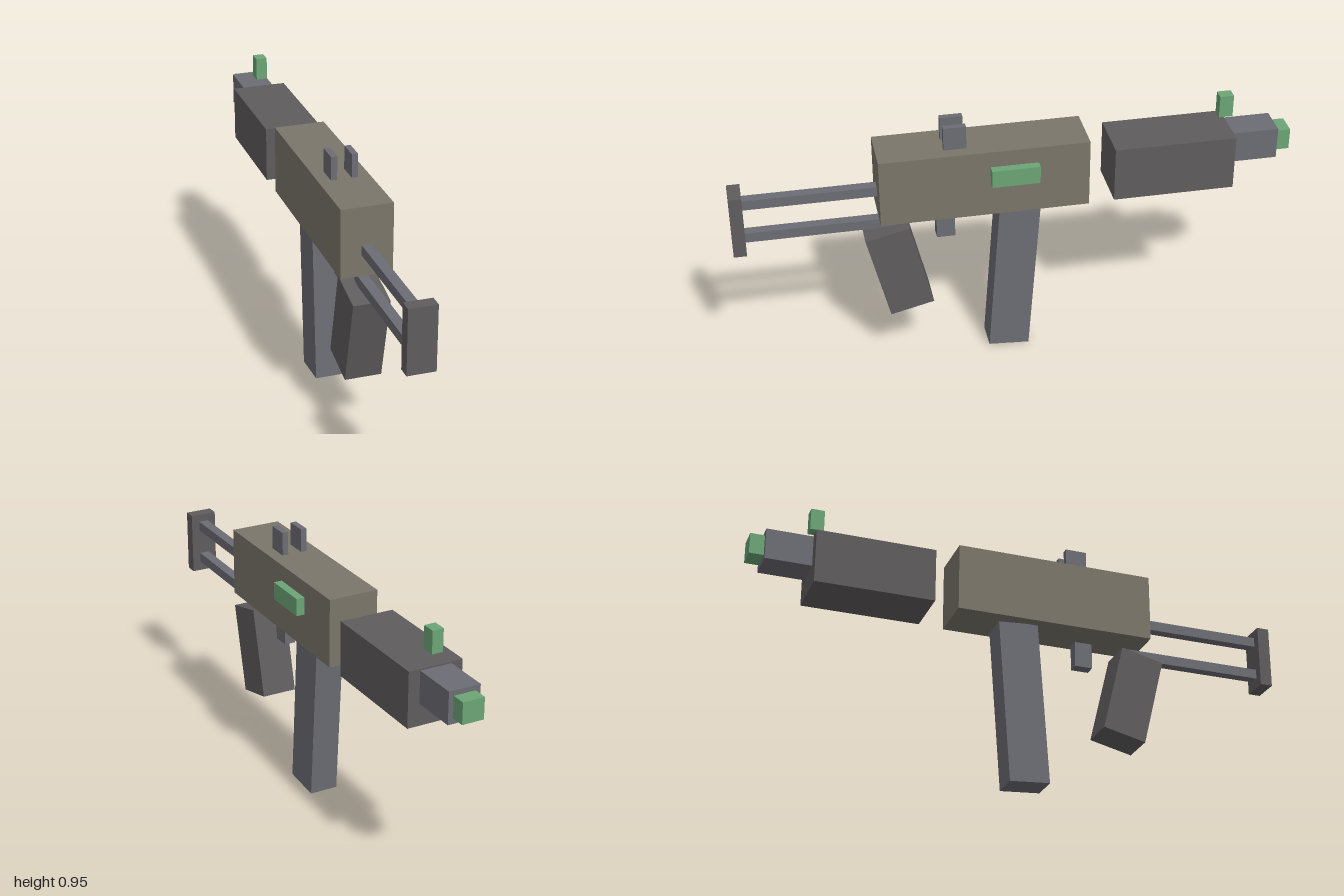
import * as THREE from 'three';

const CX = -0.0125; // centre line of the body

export function createModel() {
  const group = new THREE.Group();
  const mat = (color) => new THREE.MeshStandardMaterial({ color, flatShading: true });
  const olive = mat(0x7a766a);
  const dark = mat(0x5f5c5d);
  const steel = mat(0x6c6c74);
  const green = mat(0x6ca576);

  // Box given by size and centre, optionally tilted about x
  function block(name, material, [w, h, d], [x, y, z], tilt = 0) {
    const mesh = new THREE.Mesh(new THREE.BoxGeometry(w, h, d), material);
    mesh.name = name;
    mesh.position.set(x, y, z);
    mesh.rotation.x = tilt;
    group.add(mesh);
  }

  // Main body and front end
  block('receiver', olive, [0.185, 0.252, 0.741], [CX, 0.739, 0.117]);
  block('handguard', dark, [0.2, 0.202, 0.437], [CX, 0.723, -0.561]);
  block('barrel', steel, [0.116, 0.116, 0.19], [CX, 0.76, -0.853]);
  block('muzzle', green, [0.08, 0.078, 0.055], [CX, 0.761, -0.9725]);

  // Stock: two rods and a butt plate
  for (const y of [0.708, 0.575])
    block('stockRod', steel, [0.037, 0.037, 0.54], [CX, y, 0.689]);
  block('buttPlate', dark, [0.1, 0.235, 0.046], [CX, 0.638, 0.977]);

  // Grip, trigger and magazine
  block('grip', dark, [0.132, 0.335, 0.162], [CX, 0.391, 0.424], 0.238);
  block('trigger', steel, [0.042, 0.096, 0.066], [CX, 0.54, 0.249]);
  block('magazine', steel, [0.106, 0.607, 0.148], [CX, 0.308, 0.007], -0.07);

  // Sights and charging handle
  for (const side of [-1, 1])
    block('rearSight', steel, [0.022, 0.087, 0.08], [CX + side * 0.037, 0.907, 0.215]);
  block('frontSight', green, [0.041, 0.082, 0.05], [CX, 0.909, -0.761]);
  block('chargingHandle', green, [0.04, 0.065, 0.17], [0.091, 0.773, 0.014]);

  return group;
}
